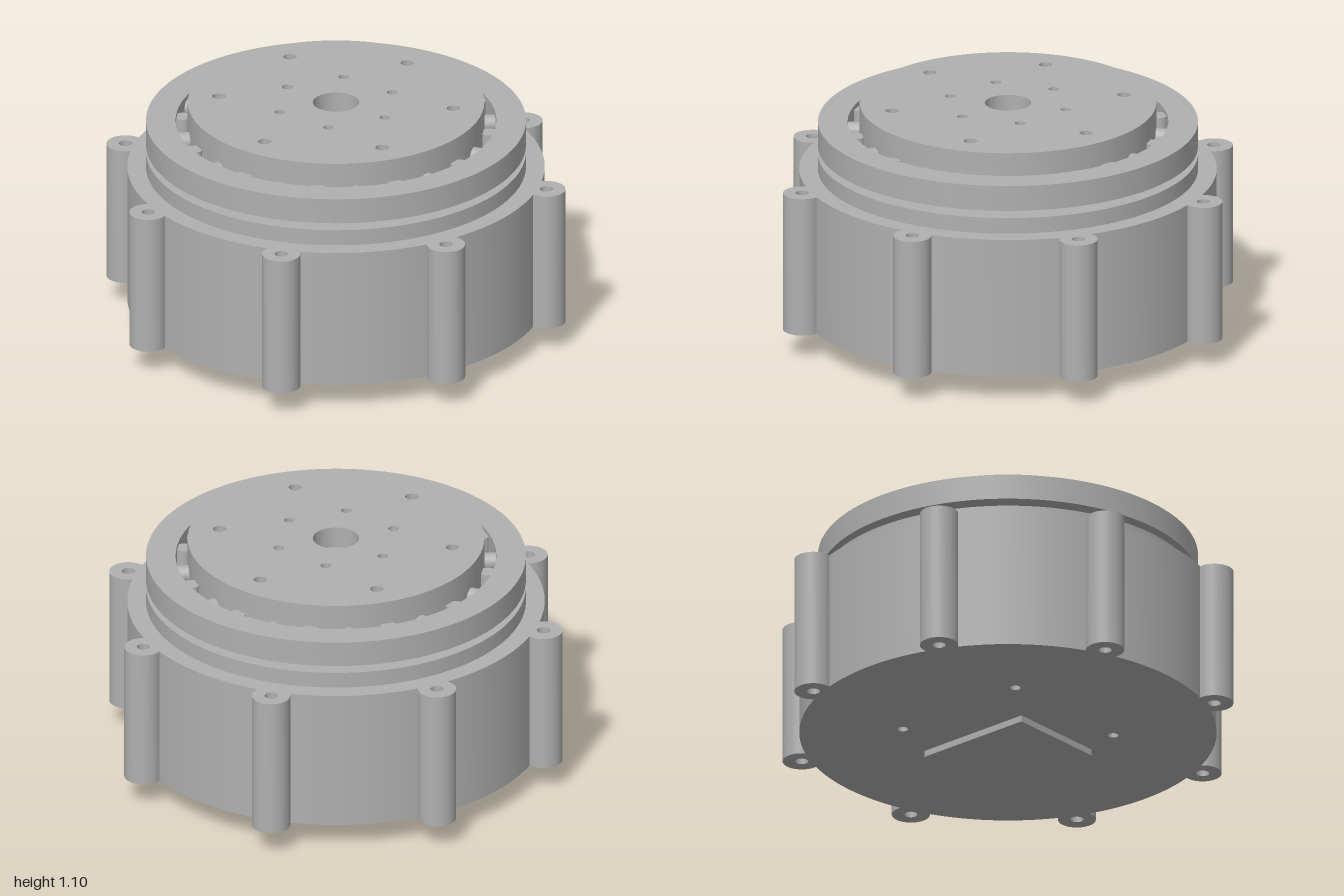
import * as THREE from 'three';
import { toCreasedNormals } from 'three/addons/utils/BufferGeometryUtils.js';

const TAU = Math.PI * 2;

export function createModel() {
  const model = new THREE.Group();
  const metal = new THREE.MeshStandardMaterial({ color: 0xb0b0b0 });
  metal.name = 'machined grey metal';

  function add(name, geometry, y = 0, parent = model) {
    const mesh = new THREE.Mesh(geometry, metal);
    mesh.name = name;
    mesh.position.y = y;
    parent.add(mesh);
    return mesh;
  }

  const disc = (r) => new THREE.Shape().absarc(0, 0, r, 0, TAU, false);

  function drill(shape, r, x = 0, y = 0) {
    shape.holes.push(new THREE.Path().absarc(x, y, r, 0, TAU, true));
  }

  // count holes evenly spaced on a pitch circle
  function drillCircle(shape, count, pitch, r, start = 0) {
    for (let i = 0; i < count; i++) {
      const a = start + (i / count) * TAU;
      drill(shape, r, pitch * Math.cos(a), pitch * Math.sin(a));
    }
  }

  // plate with the given plan, standing between two heights
  function plate(name, shape, y0, y1, curveSegments = 80) {
    const g = new THREE.ExtrudeGeometry(shape, { depth: y1 - y0, bevelEnabled: false, curveSegments });
    g.rotateX(-Math.PI / 2);
    return add(name, toCreasedNormals(g, 0.6), y0);
  }

  // Housing: round body with eight bolt lugs merged into its outline
  const R = 0.95, D = 0.99, r = 0.087;
  const bodyHalf = Math.acos((R * R + D * D - r * r) / (2 * R * D));
  const lugHalf = Math.PI - Math.acos((D * D + r * r - R * R) / (2 * D * r));
  const housing = new THREE.Shape();
  for (let i = 0; i < 8; i++) {
    const a = ((i + 0.5) / 8) * TAU;
    housing.absarc(D * Math.cos(a), D * Math.sin(a), r, a - lugHalf, a + lugHalf, false);
    housing.absarc(0, 0, R, a + bodyHalf, a + TAU / 8 - bodyHalf, false);
  }
  housing.closePath();
  drillCircle(housing, 8, D, 0.03, TAU / 16);
  drillCircle(housing, 4, 0.48, 0.024, TAU / 8);
  drill(housing, 0.09);
  plate('housing', housing, 0.12, 0.78, 24);

  // Stepped cover and the neck that carries the bearing
  const cover = disc(0.865);
  drill(cover, 0.09);
  plate('cover', cover, 0.78, 0.855);
  const neck = disc(0.52);
  drill(neck, 0.09);
  plate('neck', neck, 0.855, 0.89);

  // Bearing outer ring
  const ring = disc(0.865);
  drill(ring, 0.73);
  plate('bearingOuterRing', ring, 0.89, 1.01);

  // Output hub with two bolt circles and a stepped bore
  const hub = disc(0.675);
  drill(hub, 0.105);
  drillCircle(hub, 6, 0.538, 0.03);
  drillCircle(hub, 6, 0.278, 0.024, TAU / 12);
  plate('outputHub', hub, 0.89, 1.1);
  const bushing = disc(0.105);
  drill(bushing, 0.09);
  plate('boreBushing', bushing, 0.89, 1.0);

  // Crossed rollers: alternately upright and lying radially
  const rollers = new THREE.Group();
  rollers.name = 'bearingRollers';
  model.add(rollers);
  const rollerGeometry = new THREE.CylinderGeometry(0.04, 0.04, 0.08, 24);
  for (let i = 0; i < 24; i++) {
    const a = (i / 24) * TAU;
    const roller = add('roller', rollerGeometry, 0.95, rollers);
    roller.position.x = 0.7025 * Math.sin(a);
    roller.position.z = 0.7025 * Math.cos(a);
    roller.rotation.set(i % 2 ? Math.PI / 2 : 0, a, 0, 'YXZ');
  }

  // Encoder under the housing: board, sensor and magnet
  add('encoderBoard', new THREE.BoxGeometry(0.584, 0.03, 0.486), 0.015);
  add('encoderSensor', new THREE.CylinderGeometry(0.04, 0.04, 0.017, 32), 0.0385);
  add('encoderMagnet', new THREE.CylinderGeometry(0.05, 0.05, 0.047, 40), 0.0765);

  return model;
}
